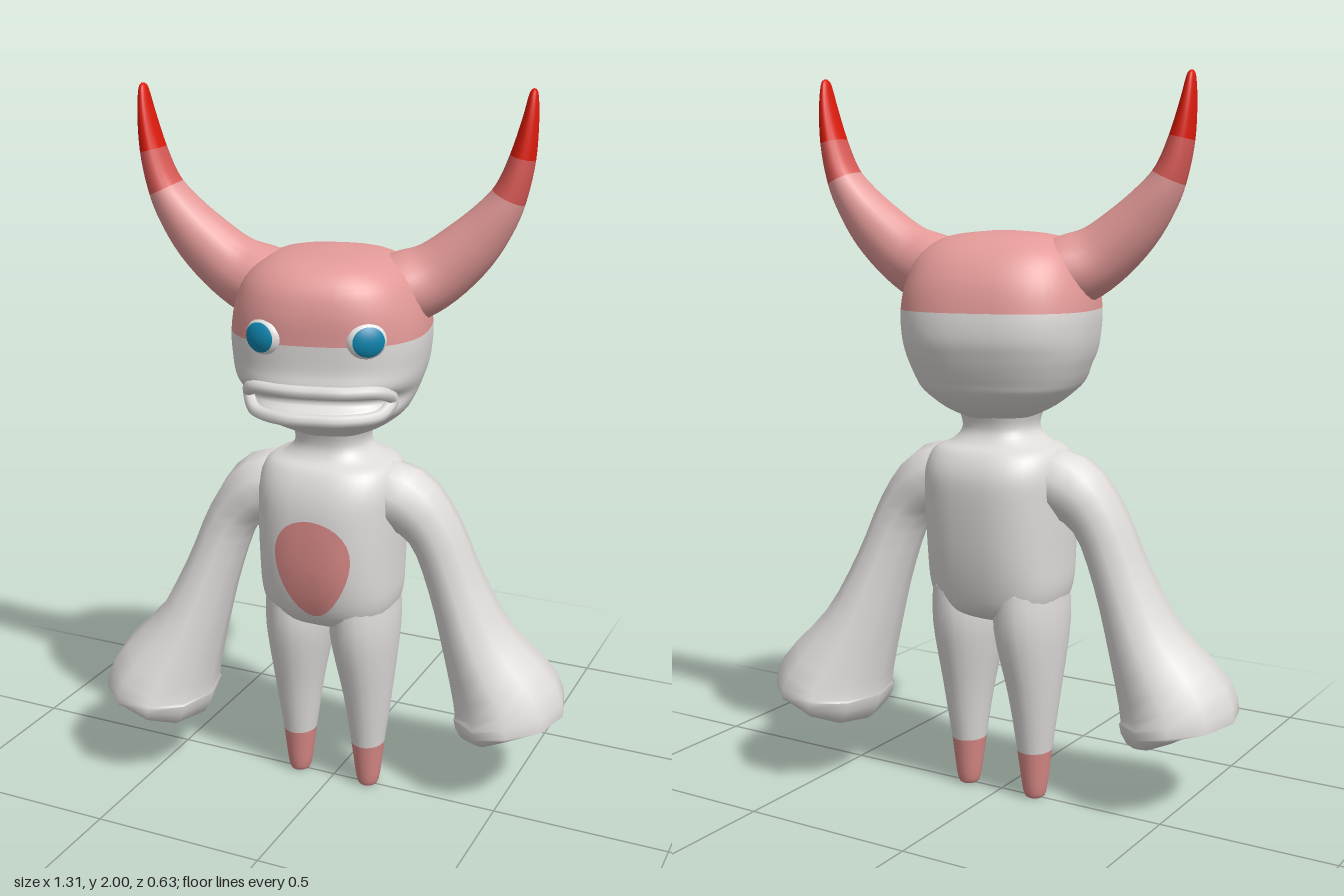
import * as THREE from 'three';

const mat = (name, color, side = THREE.FrontSide) => {
  const m = new THREE.MeshStandardMaterial({ color, side });
  m.name = name;
  return m;
};

// Smoothly resample rows of numbers, passing through every row
function resample(rows, steps = 4) {
  const out = [];
  const at = i => rows[Math.min(Math.max(i, 0), rows.length - 1)];
  for (let i = 0; i < rows.length - 1; i++) {
    for (let s = 0; s < steps; s++) {
      const t = s / steps;
      out.push(rows[i].map((p1, k) => {
        const p0 = at(i - 1)[k], p2 = at(i + 1)[k], p3 = at(i + 2)[k];
        return p1 + 0.5 * t * (p2 - p0 + t * (2 * p0 - 5 * p1 + 4 * p2 - p3 + t * (3 * (p1 - p2) + p3 - p0)));
      }));
    }
  }
  out.push(rows[rows.length - 1]);
  return out;
}

// Skin closed rings of points; cuts are heights where the next material starts
function skin(rings, cuts = [], startCap = true) {
  const n = rings[0].length, pos = rings.flat(2), index = [];
  const geo = new THREE.BufferGeometry();
  const meanY = r => r.reduce((a, p) => a + p[1], 0) / n;
  const centre = r => [0, 1, 2].map(k => r.reduce((a, p) => a + p[k], 0) / n);
  const last = rings.length - 1;
  pos.push(...centre(rings[0]), ...centre(rings[last]));
  const c0 = n * rings.length, c1 = c0 + 1;
  for (let i = 0; i < last; i++) {
    const start = index.length;
    for (let j = 0; j < n; j++) {
      const k = (j + 1) % n, a = i * n + j, b = i * n + k;
      index.push(a, a + n, b, b, a + n, b + n);
      if (i === 0 && startCap) index.push(c0, a, b);
      if (i === last - 1) index.push(c1, b + n, a + n);
    }
    const y = (meanY(rings[i]) + meanY(rings[i + 1])) / 2;
    geo.addGroup(start, index.length - start, cuts.filter(c => y > c).length);
  }
  geo.setAttribute('position', new THREE.Float32BufferAttribute(pos, 3));
  geo.setIndex(index);
  geo.computeVertexNormals();
  return geo;
}

// Level squarish rings from rows [y, halfWidth, zFront, zBack, xCentre]
const POWER = 2.6;
function stack(rows, sides, cuts, power = POWER) {
  const bend = v => Math.sign(v) * Math.abs(v) ** (2 / power);
  return skin(resample(rows).map(([y, w, f, b, cx]) => Array.from({ length: sides }, (_, j) => {
    const a = j / sides * Math.PI * 2, s = bend(Math.sin(a));
    return [cx + w * bend(Math.cos(a)), y, s > 0 ? s * f : -s * b];
  })), cuts);
}

// Front depth of a stack at x, y
function frontZ(rows, x, y) {
  const r = resample(rows);
  let i = 0;
  while (i < r.length - 2 && r[i + 1][0] < y) i++;
  const t = (y - r[i][0]) / (r[i + 1][0] - r[i][0]);
  const w = THREE.MathUtils.lerp(r[i][1], r[i + 1][1], t);
  const f = THREE.MathUtils.lerp(r[i][2], r[i + 1][2], t);
  return f * Math.max(0, 1 - Math.abs(x / w) ** POWER) ** (1 / POWER);
}

// Oval rings across a path, rows [x, y, z, radiusAcross, radiusDeep]
function limb(rows, sides, cuts, steps) {
  const r = resample(rows, steps);
  return skin(r.map(([x, y, z, ra, rb], i) => {
    const p = r[Math.max(i - 1, 0)], q = r[Math.min(i + 1, r.length - 1)];
    const dx = q[0] - p[0], dy = q[1] - p[1], l = Math.hypot(dx, dy);
    return Array.from({ length: sides }, (_, j) => {
      const a = j / sides * Math.PI * 2, u = ra * Math.cos(a);
      return [x + u * dy / l, y - u * dx / l, z + rb * Math.sin(a)];
    });
  }), cuts);
}

export function createModel() {
  const white = mat('bodyWhite', 0xdedbd9), pink = mat('headPink', 0xe39a98);
  const dusty = mat('dustyPink', 0xd98a87), coral = mat('hornCoral', 0xd95a56);
  const red = mat('hornRed', 0xdf1c0c), blue = mat('irisBlue', 0x0f86b0);
  const eyeWhite = mat('eyeWhite', 0xe6e4e2);
  const model = new THREE.Group();
  model.name = 'hornedCreature';
  const add = (parent, name, geo, material) => {
    const m = new THREE.Mesh(geo, material);
    m.name = name;
    parent.add(m);
    return m;
  };

  // Torso and neck
  const torso = [
    [0.52, 0.10, 0.08, -0.08, 0], [0.55, 0.165, 0.14, -0.14, 0], [0.61, 0.193, 0.175, -0.165, 0],
    [0.72, 0.197, 0.195, -0.185, 0], [0.86, 0.2, 0.195, -0.195, 0], [0.94, 0.2, 0.18, -0.19, 0],
    [0.995, 0.18, 0.15, -0.16, 0], [1.02, 0.13, 0.115, -0.12, 0], [1.06, 0.1, 0.1, -0.1, 0],
    [1.13, 0.12, 0.12, -0.12, 0]];
  add(model, 'torso', stack(torso, 40), [white]);

  // Egg-shaped belly patch laid on the torso
  const patch = [1, 0.8, 0.6, 0.4, 0.2, 0.02].map(s => Array.from({ length: 32 }, (_, j) => {
    const a = j / 32 * Math.PI * 2, v = -Math.sin(a);
    const x = 0.018 + s * Math.cos(a) * (0.105 + 0.03 * v), y = 0.73 + s * 0.143 * v;
    return [x, y, frontZ(torso, x, y) + 0.005];
  }));
  add(model, 'bellyPatch', skin(patch, [], false), [dusty]);

  // Legs with pink feet
  for (const side of [1, -1]) {
    const leg = [
      [0, 0.014, 0.015, -0.015, 0.11], [0.015, 0.032, 0.034, -0.034, 0.11],
      [0.14, 0.048, 0.055, -0.055, 0.109], [0.3, 0.068, 0.09, -0.09, 0.108],
      [0.5, 0.093, 0.145, -0.145, 0.1], [0.63, 0.085, 0.15, -0.15, 0.1]];
    add(model, side > 0 ? 'leftLeg' : 'rightLeg',
      stack(leg.map(r => [...r.slice(0, 4), r[4] * side]), 20, [0.14], 2), [dusty, white]);
  }

  // Swinging club arms; the right one is the left turned half round
  const arm = limb([
    [0.1, 0.92, 0, 0.08, 0.1], [0.2, 0.9, -0.02, 0.095, 0.11], [0.285, 0.81, -0.045, 0.075, 0.095],
    [0.345, 0.65, -0.07, 0.076, 0.105], [0.41, 0.47, -0.095, 0.1, 0.14],
    [0.487, 0.31, -0.122, 0.153, 0.188], [0.497, 0.252, -0.125, 0.155, 0.195],
    [0.506, 0.228, -0.125, 0.125, 0.16]], 10, [], 3);
  add(model, 'leftArm', arm, [white]);
  add(model, 'rightArm', arm, [white]).rotation.y = Math.PI;

  // Head, turned a little to its left
  const head = new THREE.Group();
  head.name = 'head';
  head.rotation.y = 0.235;
  model.add(head);
  const skull = [
    [1.085, 0.09, 0.1, -0.1, 0], [1.115, 0.15, 0.16, -0.155, 0], [1.16, 0.205, 0.25, -0.2, 0],
    [1.19, 0.225, 0.285, -0.215, 0], [1.225, 0.24, 0.25, -0.23, 0], [1.262, 0.253, 0.29, -0.243, 0],
    [1.31, 0.262, 0.285, -0.255, 0], [1.38, 0.265, 0.288, -0.252, 0], [1.46, 0.25, 0.288, -0.232, 0],
    [1.53, 0.215, 0.265, -0.185, 0], [1.575, 0.14, 0.2, -0.11, 0], [1.59, 0.02, 0.05, -0.02, 0]];
  add(head, 'skull', stack(skull, 48, [1.38]), [white, pink]);

  // Lips around the wide mouth
  const lipPoints = [[-0.19, 1.225], [-0.165, 1.258], [-0.08, 1.262], [0, 1.262], [0.08, 1.262], [0.165, 1.258],
    [0.19, 1.225], [0.165, 1.192], [0.08, 1.185], [0, 1.185], [-0.08, 1.185], [-0.165, 1.192]]
    .map(([x, y]) => new THREE.Vector3(x, y, frontZ(skull, x, y) + 0.004));
  add(head, 'lips', new THREE.TubeGeometry(new THREE.CatmullRomCurve3(lipPoints, true), 72, 0.018, 8, true), white);

  for (const side of [1, -1]) {
    const label = side > 0 ? 'left' : 'right';

    // Curved horns in three bands
    const horn = limb([
      [0.1, 1.46, 0, 0.09, 0.15], [0.2, 1.485, 0, 0.098, 0.125], [0.28, 1.525, 0, 0.088, 0.092],
      [0.365, 1.6, 0, 0.076, 0.08], [0.43, 1.68, 0, 0.058, 0.073], [0.465, 1.745, 0, 0.044, 0.066],
      [0.49, 1.83, 0, 0.034, 0.056], [0.505, 1.92, 0, 0.022, 0.043], [0.511, 1.985, 0, 0.012, 0.025],
      [0.512, 2, 0, 0.004, 0.008]], 20, [1.735, 1.83], 4);
    const hornMesh = add(head, label + 'Horn', horn, [pink, coral, red]);
    if (side < 0) hornMesh.rotation.y = Math.PI;

    // Eyes
    const eye = new THREE.Group();
    eye.name = label + 'Eye';
    eye.position.set(side * 0.13, 1.395, 0.25);
    eye.rotation.y = side * 0.45;
    eye.scale.set(1, 0.92, 0.65);
    head.add(eye);
    add(eye, 'eyeball', new THREE.SphereGeometry(0.056, 24, 16), eyeWhite);
    const iris = new THREE.SphereGeometry(0.0585, 24, 8, 0, Math.PI * 2, 0, 0.82).rotateX(Math.PI / 2);
    add(eye, 'iris', iris, blue);
  }
  return model;
}
